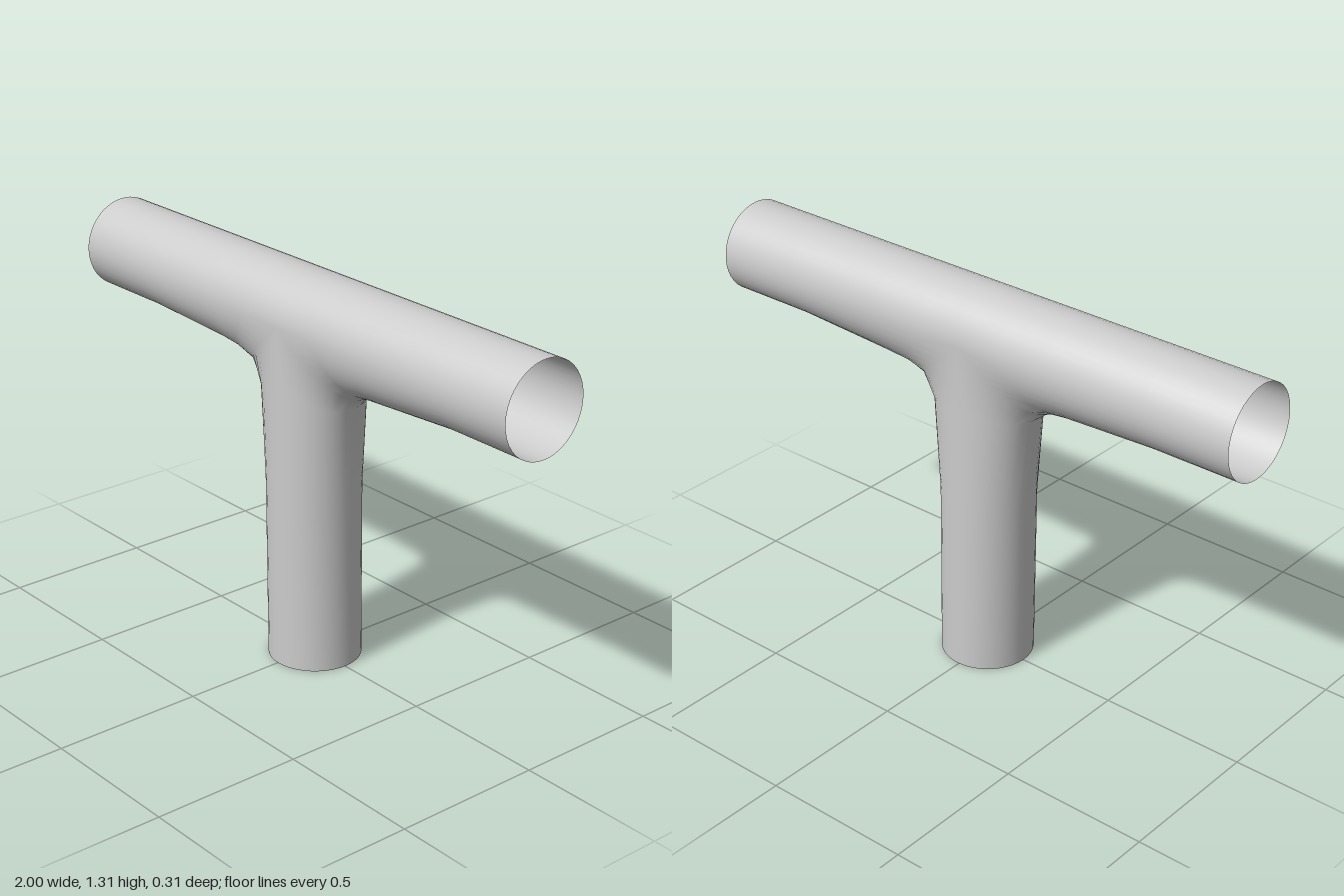
import * as THREE from 'three';
import { mergeVertices } from 'three/addons/utils/BufferGeometryUtils.js';

const R = 0.153, AXIS_Y = 1.159, STEPS = 20, CORNER = 4;

// Seam line of each half (z = +-R): along the arm axis, then down the stem axis
const SEAM = [[1, AXIS_Y], [0.7, AXIS_Y], [0.34, AXIS_Y], [0.16, AXIS_Y],
  [0, AXIS_Y], [0, 0.96], [0, 0.61], [0.005, 0]];

// Underside outline of each half: arm, rounded inner corner, stem
const LEFT = [[1, AXIS_Y - R], [0.7, 1.007], [0.34, 0.983], [0.28, 0.975],
  [0.235, 0.953], [0.183, 0.905], [0.156, 0.61], [0.158, 0]];
const RIGHT = [[-1, AXIS_Y - R], [-0.7, 1.007], [-0.36, 0.99], [-0.3, 0.98],
  [-0.24, 0.955], [-0.185, 0.91], [-0.155, 0.61], [-0.148, 0]];

function createPipeGeometry() {
  const positions = [], indices = [];

  // Adds a grid of points; flip reverses the faces on the mirrored half
  function addGrid(rows, point, flip) {
    const base = positions.length / 3, w = STEPS + 1;
    for (let i = 0; i < rows; i++)
      for (let j = 0; j <= STEPS; j++) positions.push(...point(i, (j / STEPS) * Math.PI));
    for (let i = 0; i < rows - 1; i++)
      for (let j = 0; j < STEPS; j++) {
        const a = base + i * w + j, b = a + w, c = b + 1, d = a + 1;
        if (flip) indices.push(a, c, b, a, d, c);
        else indices.push(a, b, c, a, c, d);
      }
  }

  for (const [side, outline] of [[1, LEFT], [-1, RIGHT]]) {
    const seam = SEAM.map(([x, y], i) => [i === SEAM.length - 1 ? x : side * x, y]);
    // Lower arm half blending into the stem half
    addGrid(seam.length, (i, t) => {
      const s = Math.sin(t);
      return [
        THREE.MathUtils.lerp(seam[i][0], outline[i][0], s),
        THREE.MathUtils.lerp(seam[i][1], outline[i][1], s),
        R * Math.cos(t),
      ];
    }, side < 0);
    // Upper arm half
    addGrid(CORNER + 1, (i, t) =>
      [seam[i][0], AXIS_Y + R * Math.sin(t), -R * Math.cos(t)], side < 0);
  }

  const geometry = new THREE.BufferGeometry();
  geometry.setAttribute('position', new THREE.Float32BufferAttribute(positions, 3));
  geometry.setIndex(indices);
  const welded = mergeVertices(geometry, 1e-4);
  welded.computeVertexNormals();
  return welded;
}

export function createModel() {
  const group = new THREE.Group();
  group.name = 'pipeTee';
  // Thin open-ended tee pipe
  const pipe = new THREE.Mesh(
    createPipeGeometry(),
    new THREE.MeshStandardMaterial({ color: 0xcccccc, side: THREE.DoubleSide })
  );
  pipe.name = 'teePipe';
  group.add(pipe);
  return group;
}
